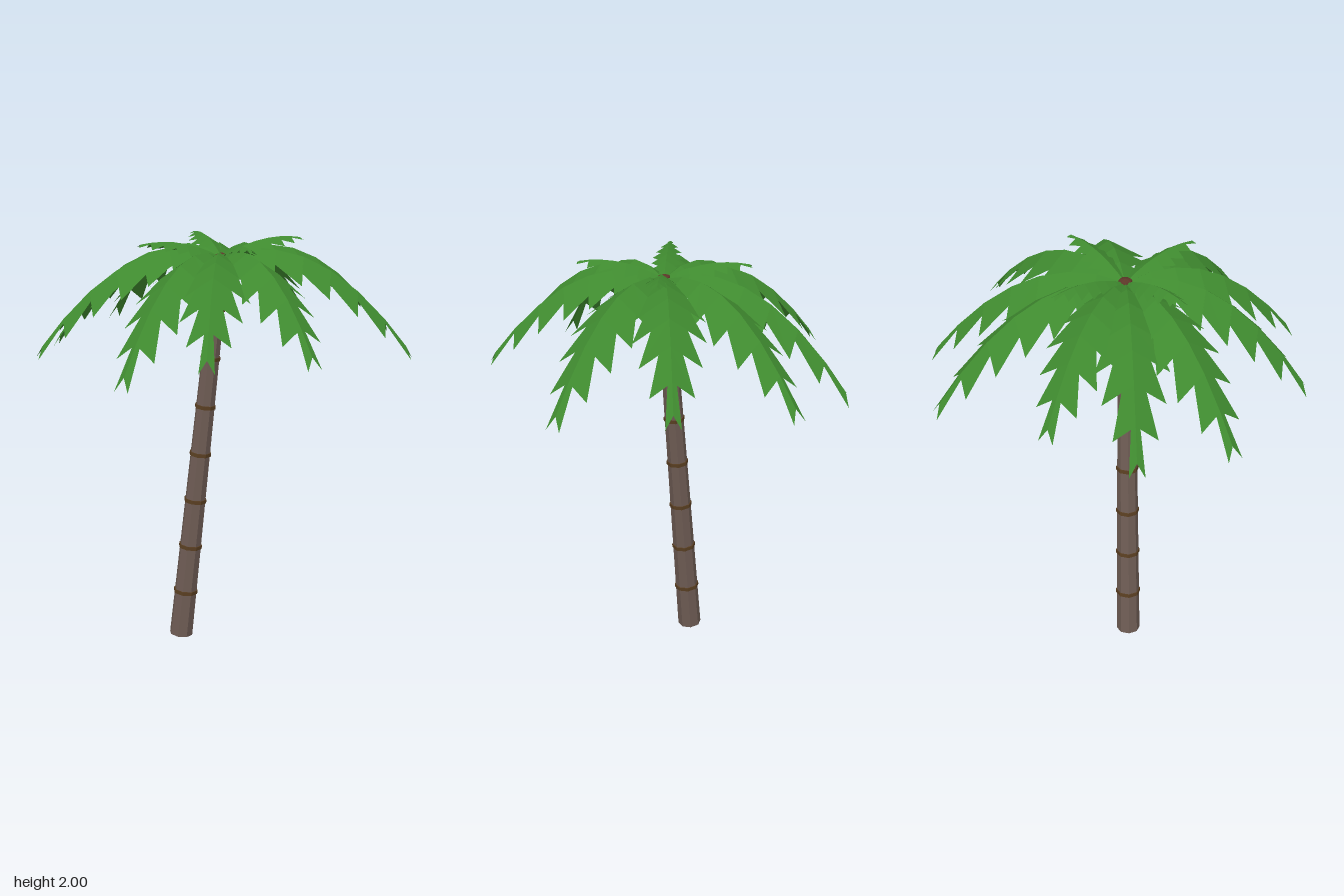
import * as THREE from 'three';

const mat = (name, color, side = THREE.FrontSide) => {
  const m = new THREE.MeshStandardMaterial({ color, side, flatShading: true });
  m.name = name;
  return m;
};

// Frond folded along its ridge, with a saw-tooth edge; it runs along +x
function frondGeometry(length, halfWidth, base, rise, tipY) {
  const fall = rise - (tipY - base);
  const teeth = [0.5, 0.82, 1, 0.97, 0.82, 0.58, 0.21];
  const notches = [0.12, 0.3, 0.5, 0.58, 0.47, 0.31, 0.12];
  const n = teeth.length;
  const point = (s, w, side) => [
    s * length,
    base + rise * s - fall * s * s - 0.65 * w * halfWidth,
    side * w * halfWidth,
  ];
  const pos = [];
  for (let i = 0; i < n; i++) {
    const s0 = i / n, s1 = (i + 1) / n;
    const last = i === n - 1;
    for (const side of [1, -1]) {
      const a = point(s0, 0, side);
      const b = point(last ? 0.97 : s1, 0, side);
      const tip = point(last ? 1 : s1 + 0.008, teeth[i], side);
      const notch = point(s0, notches[i], side);
      if (side > 0) pos.push(...a, ...tip, ...b, ...a, ...notch, ...tip);
      else pos.push(...a, ...b, ...tip, ...a, ...tip, ...notch);
    }
  }
  const g = new THREE.BufferGeometry();
  g.setAttribute('position', new THREE.Float32BufferAttribute(pos, 3));
  g.computeVertexNormals();
  return g;
}

export function createModel() {
  const model = new THREE.Group();
  model.name = 'palmTree';
  const bark = mat('bark', 0x6e5c54);
  const ringBrown = mat('ringBrown', 0x5a3f22);
  const crownBrown = mat('crownBrown', 0x5c3628);
  const leaf = mat('leafGreen', 0x3f8a2f, THREE.DoubleSide);
  const add = (parent, name, geometry, material) => {
    const mesh = new THREE.Mesh(geometry, material);
    mesh.name = name;
    parent.add(mesh);
    return mesh;
  };

  // Leaning, tapering trunk with evenly spaced rings
  const trunk = new THREE.Group();
  trunk.name = 'trunkGroup';
  trunk.position.set(-0.245, 0.007, 0.04);
  trunk.rotation.z = -Math.atan(0.111);
  model.add(trunk);
  const H = 1.9;
  const radius = d => 0.058 - 0.0098 * d;
  add(trunk, 'trunk', new THREE.CylinderGeometry(radius(H), radius(0), H, 8), bark).position.y = H / 2;
  for (let i = 1; i <= 7; i++) {
    const d = i * 0.24 - 0.007;
    const r = radius(d) + 0.005;
    add(trunk, 'trunkRing', new THREE.CylinderGeometry(r, r, 0.018, 8), ringBrown).position.y = d;
  }

  // Crown bud and the nuts beneath it
  const crown = new THREE.Group();
  crown.name = 'crown';
  crown.position.set(-0.032, 0, 0.036);
  model.add(crown);
  add(crown, 'crownBud', new THREE.SphereGeometry(0.05, 7, 5), crownBrown).position.y = 1.888;
  for (let i = 0; i < 4; i++) {
    const a = i * Math.PI / 2 + 0.5;
    add(crown, 'nut', new THREE.IcosahedronGeometry(0.025, 0), crownBrown)
      .position.set(0.045 * Math.cos(a), 1.865, 0.045 * Math.sin(a));
  }

  // Long outer fronds: angle in degrees from +x towards +z, reach, tip height
  const outer = [
    [-7, 0.9, 1.475], [-42, 0.9, 1.535], [-80, 0.91, 1.485], [-107, 0.925, 1.44], [-149.5, 0.78, 1.555],
    [181, 0.845, 1.475], [152, 0.88, 1.495], [106, 0.855, 1.455], [80, 0.81, 1.55], [46, 0.82, 1.545],
  ];
  for (const [deg, reach, tipY] of outer) {
    add(crown, 'outerFrond', frondGeometry(reach, 0.17, 1.915, 0.37, tipY), leaf)
      .rotation.y = -THREE.MathUtils.degToRad(deg);
  }

  // Short upright inner fronds, a quarter turn apart
  for (const deg of [55, 145, 235, 325]) {
    add(crown, 'innerFrond', frondGeometry(0.41, 0.075, 1.915, 0.23, 1.99), leaf)
      .rotation.y = -THREE.MathUtils.degToRad(deg);
  }
  return model;
}
